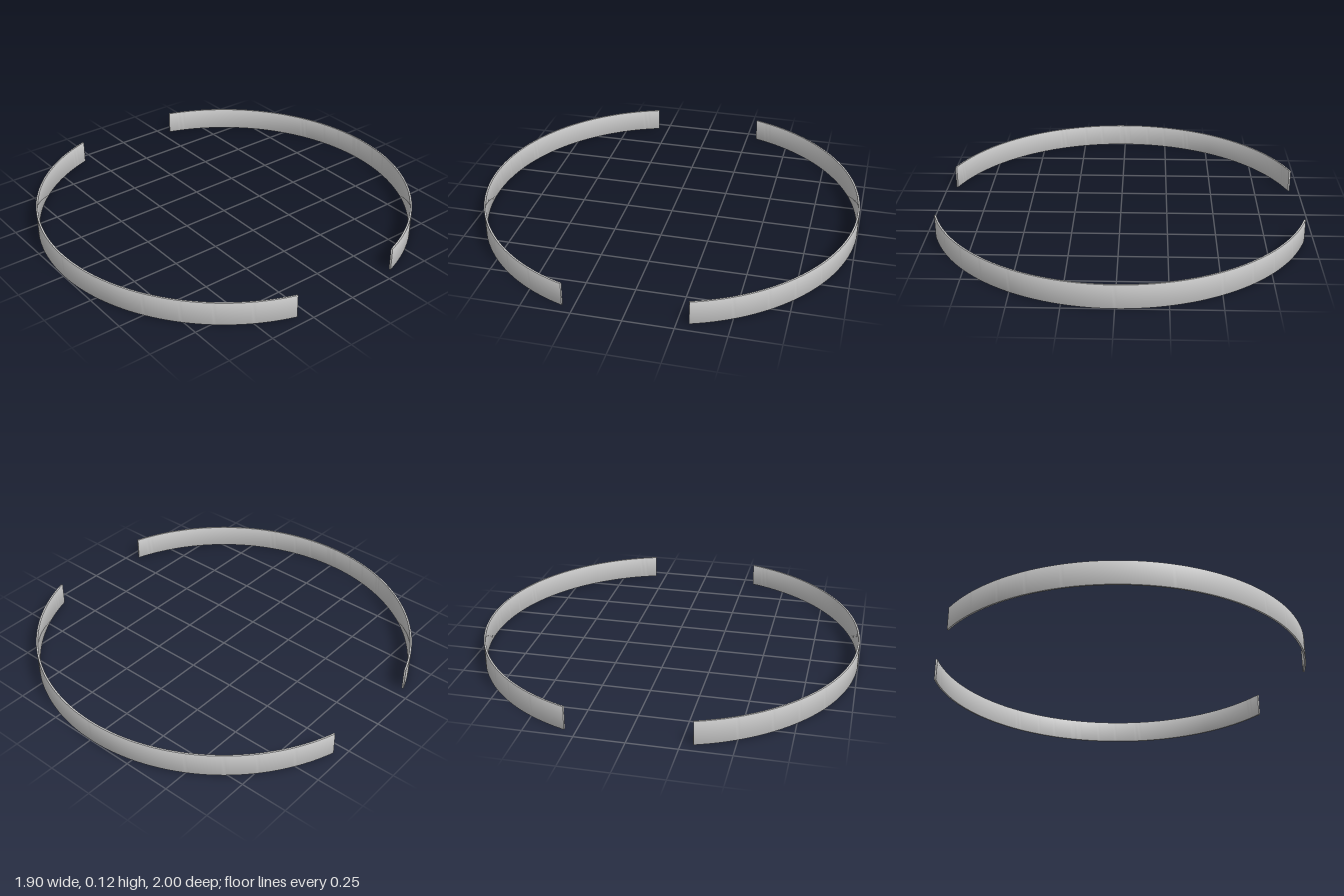
import * as THREE from 'three';
import { toCreasedNormals } from 'three/addons/utils/BufferGeometryUtils.js';

const OUTER = 1, INNER = 0.99, HEIGHT = 0.125, BEVEL = 0.002;
const GAP = THREE.MathUtils.degToRad(18); // half of the opening on each side

// Thin curved band with slightly bevelled edges, standing on y = 0
function bandGeometry() {
  const shape = new THREE.Shape();
  shape.absarc(0, 0, OUTER, GAP, Math.PI - GAP, false);
  shape.absarc(0, 0, INNER, Math.PI - GAP, GAP, true);
  shape.closePath();
  const geometry = new THREE.ExtrudeGeometry(shape, {
    depth: HEIGHT - 2 * BEVEL,
    curveSegments: 96,
    bevelEnabled: true,
    bevelThickness: BEVEL,
    bevelSize: BEVEL,
    bevelOffset: -BEVEL,
    bevelSegments: 2,
  });
  geometry.translate(0, 0, BEVEL);
  geometry.rotateX(-Math.PI / 2);
  return toCreasedNormals(geometry, 0.5);
}

export function createModel() {
  const group = new THREE.Group();
  group.name = 'splitRing';
  const material = new THREE.MeshStandardMaterial({ color: 0xcccccc });
  const geometry = bandGeometry();

  // Two matching arcs facing each other
  ['backBand', 'frontBand'].forEach((name, i) => {
    const band = new THREE.Mesh(geometry, material);
    band.name = name;
    band.rotation.y = i * Math.PI;
    group.add(band);
  });
  return group;
}
